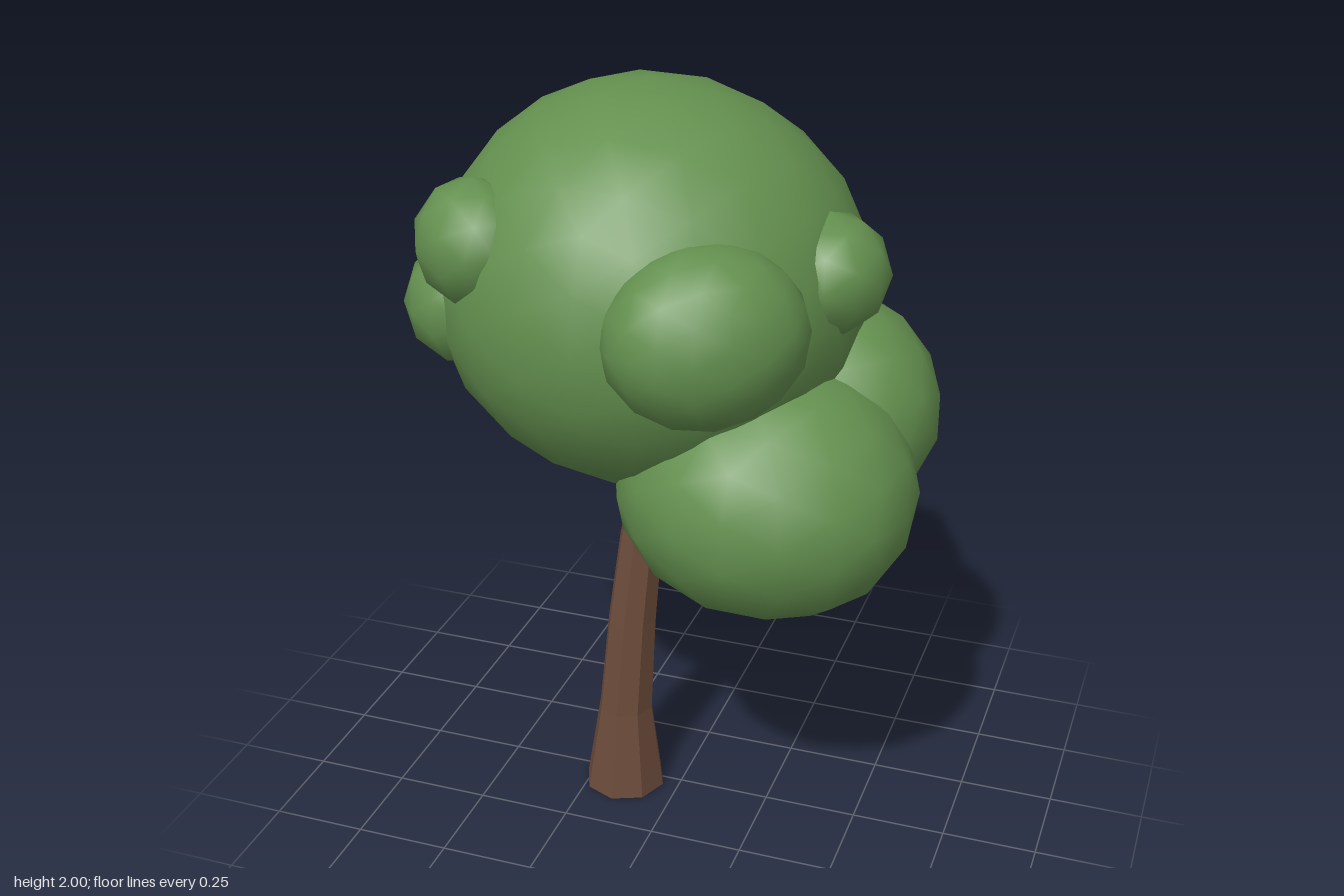
import * as THREE from 'three';
import { mergeVertices } from 'three/addons/utils/BufferGeometryUtils.js';

const leafMaterial = new THREE.MeshStandardMaterial({ color: 0x64904f });
const barkMaterial = new THREE.MeshStandardMaterial({ color: 0x6b4b3a, flatShading: true });

// Smooth-shaded, low-poly clump of leaves; bumps are [direction, height] swells or dents
function leafClump(name, [x, y, z], [rx, ry, rz], detail, turn = 0, bumps = []) {
  let geometry = new THREE.IcosahedronGeometry(1, detail);
  geometry.deleteAttribute('uv');
  geometry.deleteAttribute('normal');
  geometry = mergeVertices(geometry, 1e-4);
  const position = geometry.attributes.position;
  const point = new THREE.Vector3();
  for (let i = 0; i < position.count; i++) {
    point.fromBufferAttribute(position, i);
    let radius = 1;
    for (const [direction, height] of bumps) {
      const facing = point.dot(new THREE.Vector3(...direction).normalize());
      radius += height * Math.max(0, facing) ** 8;
    }
    point.multiplyScalar(radius);
    position.setXYZ(i, point.x, point.y, point.z);
  }
  geometry.scale(rx, ry, rz);
  geometry.computeVertexNormals();
  const mesh = new THREE.Mesh(geometry, leafMaterial);
  mesh.name = name;
  mesh.position.set(x, y, z);
  mesh.rotation.y = turn;
  return mesh;
}

// Tapered, bent limb: each ring is [x, y, z, radius], listed from bottom to top
function limb(name, rings, sides) {
  const last = rings.length - 1;
  const geometry = new THREE.CylinderGeometry(1, 1, 1, sides, last);
  const position = geometry.attributes.position;
  for (let i = 0; i < position.count; i++) {
    const [x, y, z, r] = rings[Math.round((position.getY(i) + 0.5) * last)];
    position.setXYZ(i, x + position.getX(i) * r, y, z + position.getZ(i) * r);
  }
  geometry.computeVertexNormals();
  const mesh = new THREE.Mesh(geometry, barkMaterial);
  mesh.name = name;
  return mesh;
}

export function createModel() {
  const tree = new THREE.Group();
  tree.name = 'tree';

  // Trunk flares at the foot and leans toward +x as it rises
  tree.add(limb('trunk', [
    [-0.155, 0, 0.035, 0.112],
    [-0.15, 0.25, 0.035, 0.075],
    [-0.135, 0.52, 0.017, 0.067],
    [-0.112, 0.77, 0, 0.059],
    [-0.075, 0.99, -0.01, 0.047],
    [-0.02, 1.2, -0.02, 0.035],
  ], 8));

  // Side branch into the low clumps
  tree.add(limb('branch', [
    [-0.09, 0.8, 0, 0.035],
    [0.0, 0.84, 0.01, 0.035],
    [0.15, 0.92, 0.03, 0.03],
  ], 6));

  // Main crown, a little fuller at the top front and flatter at the back right
  tree.add(leafClump('crown', [-0.085, 1.486, -0.035], [0.545, 0.51, 0.57], 3, 0, [
    [[-0.25, 0.85, 0.45], 0.025],
    [[0.4, 0.65, -0.65], -0.035],
  ]));

  // Two large low clumps
  tree.add(leafClump('lowFrontClump', [0.265, 1.04, 0.12], [0.38, 0.325, 0.375], 2, 0, [
    [[0.75, -0.5, 0.45], 0.05],
  ]));
  tree.add(leafClump('lowBackClump', [0.315, 1.15, -0.17], [0.342, 0.305, 0.308], 2, -Math.PI / 4));

  // Small clumps around the crown
  tree.add(leafClump('frontClump', [0.19, 1.525, 0.385], [0.25, 0.22, 0.195], 2, 0.65));
  [
    ['sideClump', [0.38, 1.58, 0.03], [0.155, 0.152, 0.163], 0.2],
    ['upperFrontClump', [-0.41, 1.66, 0.31], [0.16, 0.158, 0.147], -Math.PI / 4],
    ['outerFrontClump', [-0.495, 1.465, 0.205], [0.15, 0.16, 0.16], 0.4],
    ['backClump', [0.2, 1.485, -0.445], [0.14, 0.13, 0.138], 0.6],
    ['backCornerClump', [-0.38, 1.485, -0.408], [0.165, 0.16, 0.165], 1.1],
  ].forEach(([name, center, radii, turn]) => tree.add(leafClump(name, center, radii, 1, turn)));

  return tree;
}
